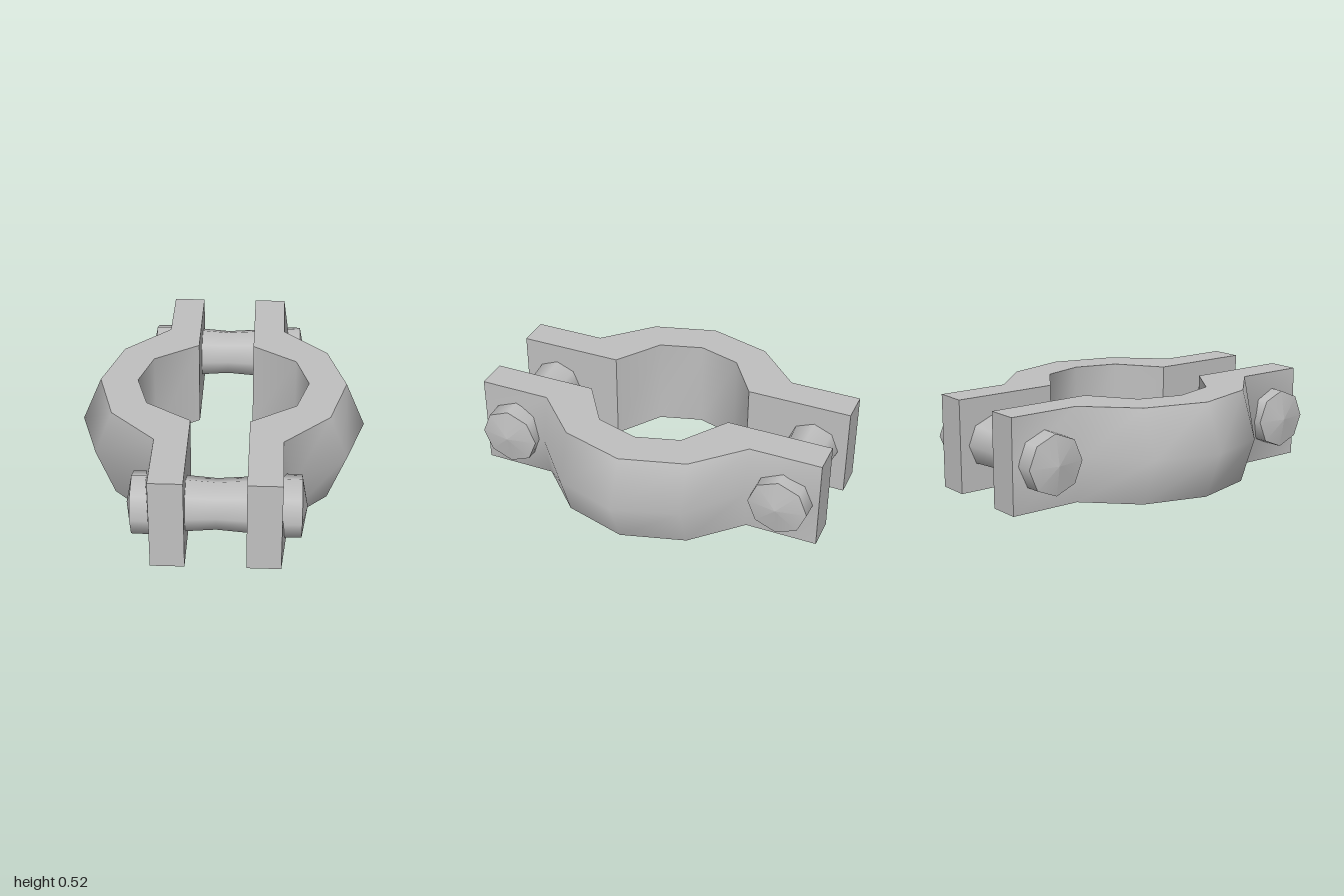
import * as THREE from 'three';
import { mergeGeometries } from 'three/addons/utils/BufferGeometryUtils.js';

const HEIGHT = 0.52, MID = HEIGHT / 2;

// Smooth surface through rows of points
function grid(rows) {
  const n = rows[0].length, index = [];
  for (let i = 0; i < rows.length - 1; i++) {
    for (let j = 0; j < n - 1; j++) {
      const a = i * n + j, b = a + 1, c = a + n, d = c + 1;
      index.push(a, b, d, a, d, c);
    }
  }
  const geo = new THREE.BufferGeometry();
  geo.setAttribute('position', new THREE.Float32BufferAttribute(rows.flat(2), 3));
  geo.setIndex(index);
  geo.computeVertexNormals();
  return geo;
}

// Mirror a quarter profile [x, z] front to back and lift it to a height
const row = (quarter, y) => [
  ...quarter.map(([x, z]) => [x, y, z]),
  ...quarter.slice(0, -1).reverse().map(([x, z]) => [x, y, -z]),
];

// One half of the clamp: two flanges joined by a bulging collar
function clampHalfGeometry() {
  const inner = [[0.16, 1], [0.16, 0.41], [0.41, 0.24], [0.48, 0]];
  const edge = [[0.34, 1], [0.34, 0.6], [0.59, 0.35], [0.69, 0]];
  const ridge = [[0.34, 1], [0.4, 0.6], [0.69, 0.35], [0.8, 0]];
  const inLow = row(inner, 0), inTop = row(inner, HEIGHT);
  const outLow = row(edge, 0), outTop = row(edge, HEIGHT);
  const parts = [
    grid([outLow, row(ridge, MID), outTop]), // bulging outside
    grid([outTop, inTop]), // top
    grid([inLow, outLow]), // underside
    grid([[inLow[0], outLow[0]], [inTop[0], outTop[0]]]), // front end
    grid([[outLow[6], inLow[6]], [outTop[6], inTop[6]]]), // back end
  ];
  // Inside wall, with hard edges where the flanges begin
  for (const [from, to] of [[0, 2], [1, 6], [5, 7]]) {
    parts.push(grid([inTop.slice(from, to), inLow.slice(from, to)]));
  }
  return mergeGeometries(parts);
}

// Eight-sided turned piece along x, profile given as [radius, x]
function turned(profile) {
  const geo = new THREE.LatheGeometry(profile.map(([r, x]) => new THREE.Vector2(r, x)), 8);
  return geo.rotateZ(-Math.PI / 2);
}

export function createModel() {
  const model = new THREE.Group();
  model.name = 'pipeClamp';
  const steel = new THREE.MeshStandardMaterial({ color: 0xc0c0c0 });
  steel.name = 'grey steel';

  const add = (parent, name, geo, turn = 0) => {
    const mesh = new THREE.Mesh(geo, steel);
    mesh.name = name;
    mesh.rotation.y = turn;
    parent.add(mesh);
  };

  const half = clampHalfGeometry();
  add(model, 'leftClampHalf', half);
  add(model, 'rightClampHalf', half, Math.PI);

  // Bolts: waisted shaft with a low conical head on each end
  const shaft = turned([[0.152, -0.3], [0.147, -0.16], [0.135, 0], [0.147, 0.16], [0.152, 0.3]]);
  const headSide = turned([[0.168, 0.3], [0.165, 0.44]]);
  const headCap = turned([[0.165, 0.44], [0, 0.47]]);
  for (const [name, z] of [['frontBolt', 0.8], ['backBolt', -0.8]]) {
    const bolt = new THREE.Group();
    bolt.name = name;
    bolt.position.set(0, MID, z);
    add(bolt, 'shaft', shaft);
    for (const [side, turn] of [['left', 0], ['right', Math.PI]]) {
      add(bolt, side + 'HeadSide', headSide, turn);
      add(bolt, side + 'HeadCap', headCap, turn);
    }
    model.add(bolt);
  }
  return model;
}
